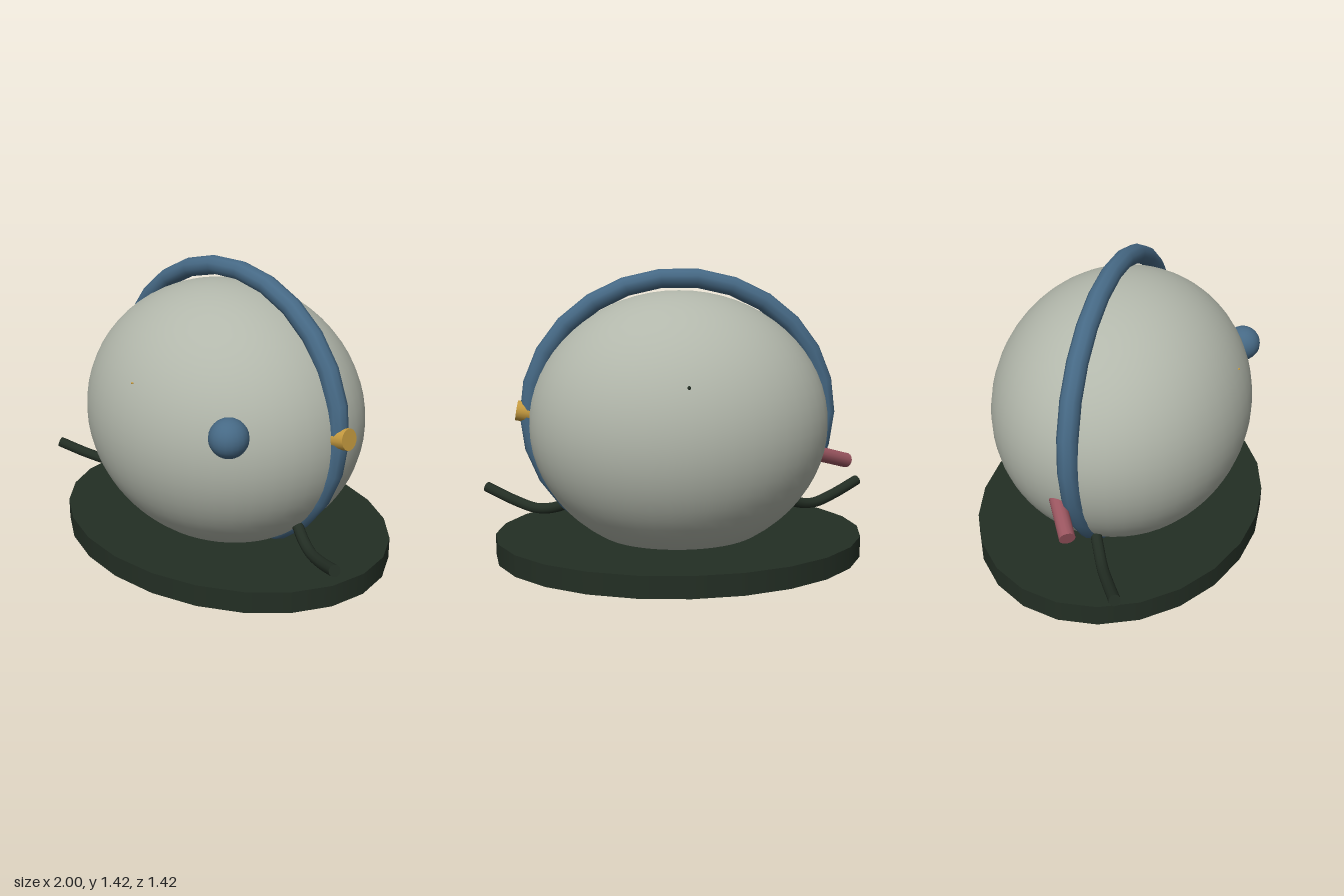
import * as THREE from 'three';

const material = (name, color) => {
  const m = new THREE.MeshStandardMaterial({ color });
  m.name = name;
  return m;
};

export function createModel() {
  const group = new THREE.Group();
  const shell = material('pale grey', 0xb2b7ab);
  const blue = material('steel blue', 0x466985);
  const dark = material('dark green', 0x232e24);
  const gold = material('gold', 0xc69b40);
  const pink = material('dusty pink', 0x9b5660);

  const add = (name, geometry, mat, x = 0, y = 0, z = 0) => {
    const mesh = new THREE.Mesh(geometry, mat);
    mesh.name = name;
    mesh.position.set(x, y, z);
    group.add(mesh);
    return mesh;
  };
  // Straight rod between two points
  const rod = (name, from, to, radius, sides, mat) => {
    const a = new THREE.Vector3(...from), b = new THREE.Vector3(...to);
    const dir = b.clone().sub(a);
    const mid = a.clone().add(b).multiplyScalar(0.5);
    const mesh = add(name, new THREE.CylinderGeometry(radius, radius, dir.length(), sides), mat, mid.x, mid.y, mid.z);
    mesh.quaternion.setFromUnitVectors(new THREE.Vector3(0, 1, 0), dir.normalize());
    return mesh;
  };

  // Oval base plate and egg-shaped body
  add('base', new THREE.CylinderGeometry(1, 1, 0.105, 24).scale(0.913, 1, 0.71), dark, 0, 0.0675, 0);
  add('body', new THREE.SphereGeometry(1, 48, 32).scale(0.735, 0.65, 0.63), shell, 0, 0.67, 0);

  // Slightly tilted oval hoop around the body
  const hoop = add('hoop', new THREE.TorusGeometry(0.7, 0.048, 10, 26).scale(1.043, 0.955, 1), blue, 0, 0.715, 0);
  hoop.rotation.x = -0.04;

  // Ball, side knob and spout
  add('ball', new THREE.SphereGeometry(0.089, 20, 14), blue, 0.52, 0.805, 0.475);
  rod('knob', [0.7, 0.725, 0], [0.793, 0.741, 0], 0.05, 16, gold);
  rod('spout', [-0.65, 0.53, -0.1], [-0.858, 0.455, 0.04], 0.037, 14, pink);

  // Tiny tips just breaking the surface, front and back
  add('frontTip', new THREE.SphereGeometry(0.008, 8, 6).scale(1, 0.5, 1), gold, 0, 0.945, 0.569);
  add('backTip', new THREE.SphereGeometry(0.009, 8, 6), dark, 0, 0.925, -0.578);

  // Mirrored curved feet, closed at the outer ends
  for (const [name, s] of [['leftFoot', 1], ['rightFoot', -1]]) {
    const points = [
      [0.5, 0.3, 0.03], [0.56, 0.255, 0.06], [0.63, 0.222, 0.1],
      [0.72, 0.208, 0.15], [0.84, 0.235, 0.22], [0.985, 0.287, 0.304],
    ].map(([x, y, z]) => new THREE.Vector3(s * x, y, z));
    const curve = new THREE.CatmullRomCurve3(points);
    add(name, new THREE.TubeGeometry(curve, 24, 0.027, 10), dark);
    const end = points[points.length - 1];
    const cap = add(name + 'Cap', new THREE.CircleGeometry(0.027, 10), dark, end.x, end.y, end.z);
    cap.quaternion.setFromUnitVectors(new THREE.Vector3(0, 0, 1), curve.getTangent(1));
  }
  return group;
}
